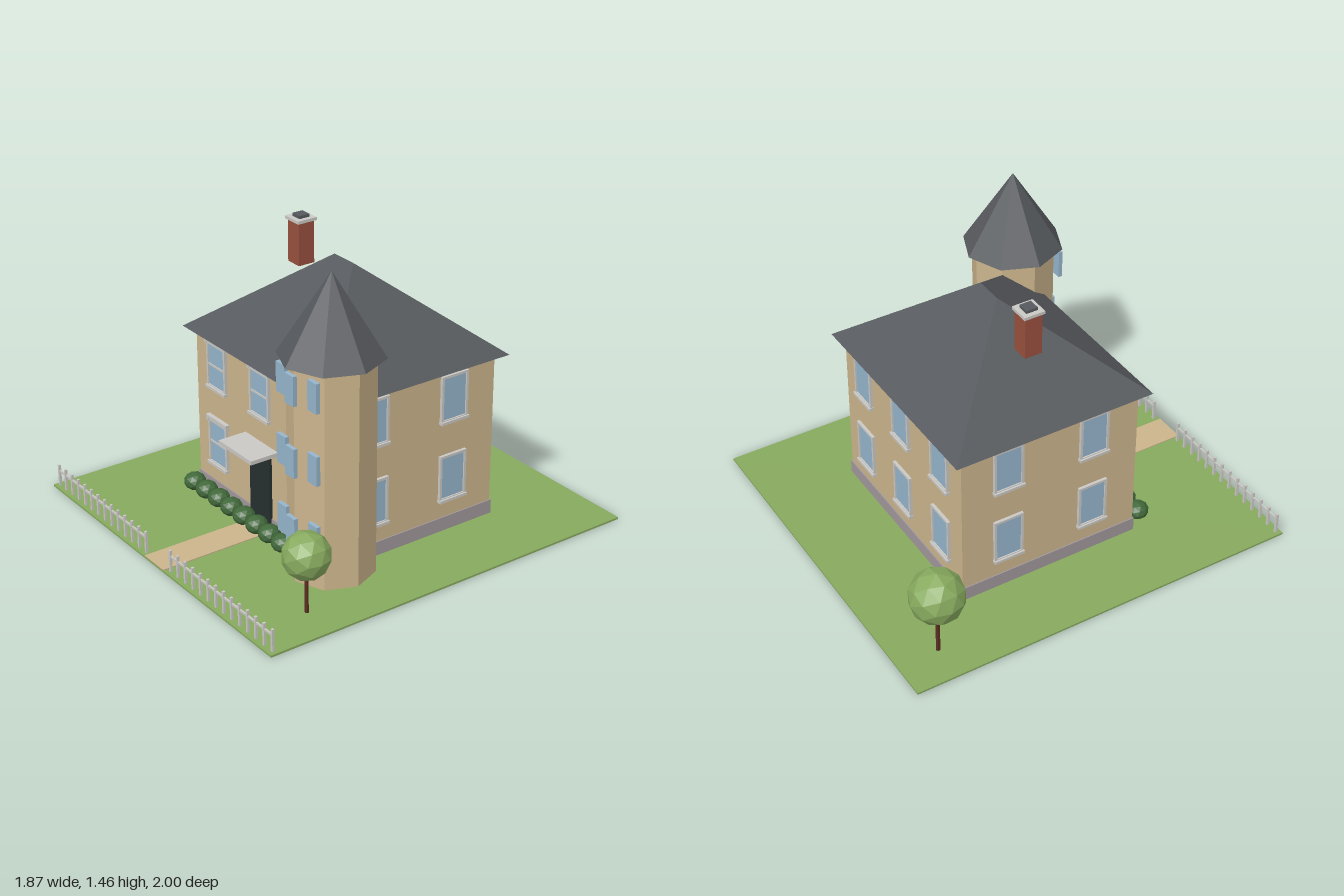
import * as THREE from 'three';

const mat = (name, color) => {
  const m = new THREE.MeshStandardMaterial({ color, flatShading: true });
  m.name = name;
  return m;
};

export function createModel() {
  const root = new THREE.Group();
  root.name = 'house';
  const wall = mat('sandstone', 0xcbb48c);
  const slate = mat('slate', 0x56595d);
  const trim = mat('trim', 0xcac8c4);
  const glass = mat('glass', 0x95b4cb);
  const doorPaint = mat('doorPaint', 0x26302f);
  const stone = mat('foundationStone', 0xa0979a);
  const brick = mat('brick', 0x98503e);
  const grass = mat('grass', 0x87aa5e);
  const hedgeGreen = mat('hedgeGreen', 0x41683a);
  const bark = mat('bark', 0x5a2c20);

  const add = (name, geo, material, x, y, z, parent = root) => {
    const m = new THREE.Mesh(geo, material);
    m.name = name;
    m.position.set(x, y, z);
    parent.add(m);
    return m;
  };
  const box = (name, material, w, h, d, x, y, z, parent) =>
    add(name, new THREE.BoxGeometry(w, h, d), material, x, y, z, parent);

  // Plot and path
  box('lawn', grass, 1.87, 0.01, 2, 0, 0.005, 0);
  box('path', wall, 0.16, 0.006, 0.56, 0, 0.012, 0.72);

  // Main block
  const cz = -0.0675, halfX = 0.535, halfZ = 0.4675;
  box('walls', wall, halfX * 2, 0.83, halfZ * 2, 0, 0.425, cz);
  box('foundation', stone, halfX * 2 + 0.012, 0.07, halfZ * 2 + 0.012, 0, 0.045, cz);

  // Hipped roof with a short ridge
  const A = [-0.583, 0.84, -0.583], B = [0.583, 0.84, -0.583];
  const C = [0.583, 0.84, 0.447], D = [-0.583, 0.84, 0.447];
  const L = [-0.07, 1.25, -0.068], R = [0.07, 1.25, -0.068];
  const faces = [D, C, R, D, R, L, C, B, R, B, A, L, B, L, R, A, D, L, A, B, C, A, C, D];
  const roofGeo = new THREE.BufferGeometry();
  roofGeo.setAttribute('position', new THREE.Float32BufferAttribute(faces.flat(), 3));
  roofGeo.computeVertexNormals();
  add('roof', roofGeo, slate, 0, 0, 0);

  // Framed window; local +z points out of the wall
  const addWindow = (x, y, z, turn, ornate) => {
    const g = new THREE.Group();
    g.name = 'window';
    g.position.set(x, y, z);
    g.rotation.y = turn;
    root.add(g);
    const w = 0.13, h = 0.21, t = 0.012;
    box('pane', glass, w, h, 0.008, 0, 0, 0.004, g);
    for (const s of [-1, 1]) {
      box('jamb', trim, t, h + 2 * t, 0.015, s * (w + t) / 2, 0, 0.0075, g);
      box('rail', trim, w, t, 0.015, 0, s * (h + t) / 2, 0.0075, g);
    }
    box('sill', trim, 0.16, 0.014, 0.024, 0, -h / 2 - 0.011, 0.012, g);
    if (ornate) {
      box('glazingBar', trim, w, 0.01, 0.012, 0, 0, 0.006, g);
      box('lintel', trim, 0.17, 0.016, 0.022, 0, h / 2 + 0.022, 0.011, g);
      for (const s of [-1, 1])
        box('lintelEnd', trim, 0.016, 0.016, 0.02, s * 0.077, h / 2 + 0.008, 0.01, g);
    }
  };
  for (const y of [0.29, 0.695]) {
    for (const x of [-0.355, 0, 0.355]) {
      if (x !== 0 || y > 0.5) addWindow(x, y, cz + halfZ, 0, true);
      addWindow(x, y, cz - halfZ, Math.PI, false);
    }
    for (const s of [-1, 1])
      for (const dz of [-0.2275, 0.2275])
        addWindow(s * halfX, y, cz + dz, s * Math.PI / 2, false);
  }

  // Entrance
  box('door', doorPaint, 0.16, 0.385, 0.02, 0, 0.2075, 0.405);
  box('doorCanopy', trim, 0.265, 0.02, 0.15, 0, 0.438, 0.475);

  // Corner tower
  const tx = 0.505, tz = 0.37;
  add('towerWalls', new THREE.CylinderGeometry(0.202, 0.202, 1.065, 8), wall, tx, 0.5375, tz);
  add('towerRoof', new THREE.ConeGeometry(0.245, 0.39, 8), slate, tx, 1.265, tz);
  for (const y of [0.275, 0.62, 0.967])
    for (const i of [-1, 0, 1])
      box('towerWindow', glass, 0.065, 0.142, 0.02, tx + i * 0.117, y, i ? 0.55 : 0.587);

  // Chimney
  box('chimneyStack', brick, 0.088, 0.215, 0.088, -0.335, 1.2325, -0.068);
  box('chimneyCap', trim, 0.106, 0.015, 0.106, -0.335, 1.345, -0.068);
  box('chimneyFlue', slate, 0.058, 0.016, 0.058, -0.335, 1.359, -0.068);

  // Hedge along the front wall
  for (let i = 0; i < 9; i++) {
    const b = add('hedgeBush', new THREE.IcosahedronGeometry(0.055, 1), hedgeGreen,
      -0.48 + i * 0.106, 0.06, 0.47);
    b.scale.y = 0.8;
  }

  // Trees
  for (const [x, z, r, y] of [[-0.75, -0.79, 0.133, 0.337], [0.745, 0.68, 0.113, 0.295]]) {
    add('treeTrunk', new THREE.CylinderGeometry(r * 0.07, r * 0.09, y, 6), bark, x, y / 2, z);
    add('treeCrown', new THREE.IcosahedronGeometry(r, 1), grass, x, y, z);
  }

  // Picket fence with a gap at the path
  for (const s of [-1, 1]) {
    for (let i = 0; i < 14; i++)
      box('fencePicket', trim, 0.012, 0.11, 0.012, s * (0.105 + i * 0.062), 0.065, 0.975);
    box('fenceRail', trim, 0.81, 0.01, 0.008, s * 0.508, 0.09, 0.975);
  }
  return root;
}
